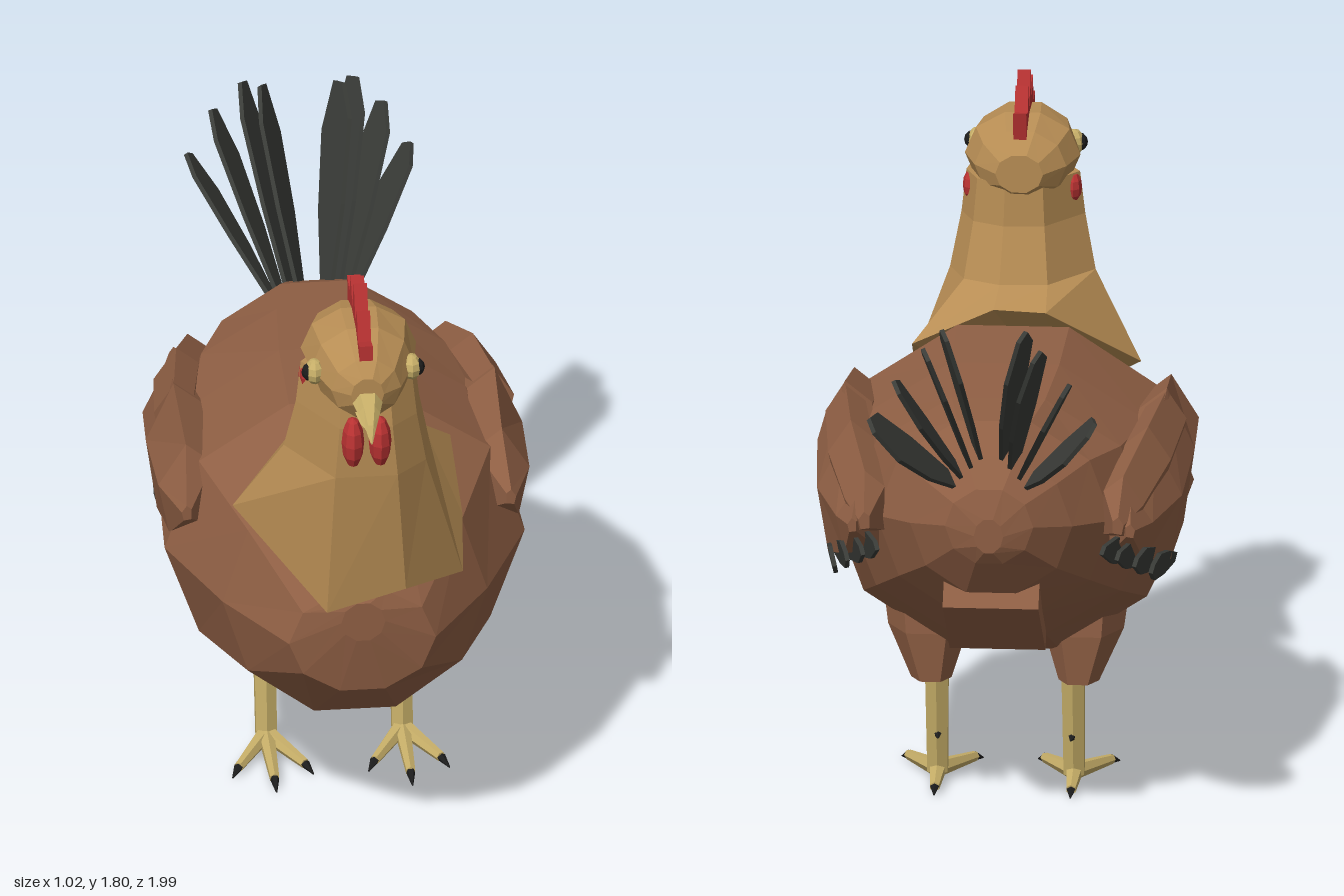
import * as THREE from 'three';

const mat = (name, color) => {
  const m = new THREE.MeshStandardMaterial({ color });
  m.name = name;
  return m;
};
const V = (x, y, z) => new THREE.Vector3(x, y, z);

// Faceted geometry: every face gets its own normal
function facet(g) {
  const f = g.index ? g.toNonIndexed() : g;
  f.computeVertexNormals();
  return f;
}

// Closed skin over a list of rings (arrays of points), capped at both ends
function loft(rings) {
  const tris = [], n = rings[0].length;
  for (let r = 0; r < rings.length - 1; r++) {
    for (let i = 0; i < n; i++) {
      const j = (i + 1) % n, a = rings[r], b = rings[r + 1];
      tris.push([a[i], a[j], b[j]], [a[i], b[j], b[i]]);
    }
  }
  const last = rings[rings.length - 1];
  for (let i = 1; i < n - 1; i++) {
    tris.push([rings[0][0], rings[0][i + 1], rings[0][i]], [last[0], last[i], last[i + 1]]);
  }
  // Turn the skin outwards if its volume is negative
  const c = rings[0][0];
  const vol = tris.reduce((s, [p, q, w]) =>
    s + p.clone().sub(c).dot(q.clone().sub(c).cross(w.clone().sub(c))), 0);
  if (vol < 0) tris.forEach((t) => t.reverse());
  return facet(new THREE.BufferGeometry().setFromPoints(tris.flat()));
}

// Loft of n-sided ellipses along z; each station is [z, centre y, rx, ry]
const ovals = (stations, n) => loft(stations.map(([z, cy, rx, ry]) =>
  Array.from({ length: n }, (_, i) => {
    const a = ((i + 0.5) / n) * Math.PI * 2;
    return V(rx * Math.sin(a), cy - ry * Math.cos(a), z);
  })));

// Tapered rod between two points
function rod(a, b, ra, rb, sides = 6) {
  const d = b.clone().sub(a);
  const g = new THREE.CylinderGeometry(rb, ra, d.length(), sides);
  g.applyQuaternion(new THREE.Quaternion().setFromUnitVectors(V(0, 1, 0), d.normalize()));
  g.translate((a.x + b.x) / 2, (a.y + b.y) / 2, (a.z + b.z) / 2);
  return facet(g);
}

// Flat feather from a to b, its face turned towards the normal
function feather(a, b, width, normal) {
  const d = b.clone().sub(a), len = d.length(), w = width / 2;
  const s = new THREE.Shape([[-w * 0.35, 0], [w * 0.35, 0], [w * 0.9, len * 0.4], [w, len * 0.78],
    [w * 0.3, len], [-w * 0.35, len * 0.98], [-w, len * 0.8], [-w * 0.85, len * 0.4]]
    .map(([x, y]) => new THREE.Vector2(x, y)));
  const g = new THREE.ExtrudeGeometry(s, { depth: 0.012, bevelEnabled: false });
  const Y = d.normalize(), X = Y.clone().cross(normal).normalize(), Z = X.clone().cross(Y);
  g.applyMatrix4(new THREE.Matrix4().makeBasis(X, Y, Z).setPosition(a));
  return facet(g);
}

function ball(x, y, z, rx, ry, rz, w = 8, h = 6) {
  const g = new THREE.SphereGeometry(1, w, h);
  g.scale(rx, ry, rz);
  g.translate(x, y, z);
  return facet(g);
}

export function createModel() {
  const hen = new THREE.Group();
  hen.name = 'hen';
  const brown = mat('brown plumage', 0x8f5f44);
  const gold = mat('golden plumage', 0xb78d54);
  const red = mat('red skin', 0xb93232);
  const horn = mat('pale horn', 0xc6ae68);
  const dark = mat('dark feathers', 0x3a3c38);
  const black = mat('black', 0x1c1c1c);
  const add = (name, geometry, material, parent = hen) => {
    const m = new THREE.Mesh(geometry, material);
    m.name = name;
    parent.add(m);
    return m;
  };

  // Body and the fluff below the tail
  add('body', ovals([
    [0.775, 0.80, 0.06, 0.06], [0.75, 0.73, 0.2, 0.16], [0.55, 0.76, 0.36, 0.37],
    [0.28, 0.785, 0.49, 0.447], [-0.03, 0.80, 0.475, 0.425], [-0.29, 0.855, 0.41, 0.35],
    [-0.45, 0.90, 0.32, 0.29], [-0.57, 0.92, 0.22, 0.205], [-0.65, 0.94, 0.12, 0.11],
    [-0.675, 0.92, 0.04, 0.05]], 10), brown);
  const vent = new THREE.BoxGeometry(0.26, 0.09, 0.34);
  vent.rotateX(0.64);
  vent.translate(0, 0.625, -0.435);
  add('ventFluff', facet(vent), brown);

  // Neck with a ragged cape hem
  const hem = [[-0.1, 0.84, 0.785], [0.115, 0.9, 0.78], [0.285, 0.865, 0.635], [0.29, 1.01, 0.58],
    [0.28, 1.13, 0.35], [0.06, 1.225, 0.37], [-0.085, 1.235, 0.32], [-0.33, 1.04, 0.52]];
  const collar = [[-0.08, 0.81], [0.09, 0.81], [0.175, 0.73], [0.195, 0.61],
    [0.15, 0.5], [0.05, 0.45], [-0.08, 0.46], [-0.2, 0.61]];
  const neckRing = (y, s, cz) => collar.map(([x, z]) => V(x * s, y, cz + (z - 0.63) * s));
  add('neck', loft([hem.map((p) => V(...p)), neckRing(1.27, 1, 0.63),
    neckRing(1.42, 0.85, 0.655), neckRing(1.54, 0.78, 0.65)]), gold);

  // Head
  add('head', ovals([[0.885, 1.565, 0.045, 0.05], [0.85, 1.565, 0.095, 0.09],
    [0.75, 1.58, 0.14, 0.122], [0.64, 1.585, 0.157, 0.122], [0.55, 1.58, 0.125, 0.1],
    [0.5, 1.57, 0.065, 0.055]], 10), gold);

  // Comb
  const comb = new THREE.Shape([[0.85, 1.6], [0.85, 1.695], [0.805, 1.685], [0.775, 1.765],
    [0.735, 1.715], [0.695, 1.805], [0.655, 1.715], [0.615, 1.785], [0.578, 1.72],
    [0.52, 1.735], [0.54, 1.62]].map((p) => new THREE.Vector2(...p)));
  const combGeo = new THREE.ExtrudeGeometry(comb, { depth: 0.036, bevelEnabled: false });
  combGeo.rotateY(-Math.PI / 2);
  combGeo.translate(0.018, 0, 0);
  add('comb', facet(combGeo), red);

  // Beak
  add('upperBeak', ovals([[0.85, 1.55, 0.05, 0.04], [0.925, 1.53, 0.03, 0.025],
    [0.97, 1.505, 0.014, 0.014], [0.995, 1.475, 0.003, 0.003]], 6), horn);
  add('lowerBeak', ovals([[0.85, 1.505, 0.035, 0.018], [0.91, 1.49, 0.022, 0.013],
    [0.955, 1.484, 0.003, 0.003]], 6), horn);

  // Wing cross-sections: [z, top y, bottom y, outer x]
  const wingRings = (list) => loft(list.map(([z, t, b, x]) => {
    const k = Math.min(1, (t - b) / 0.25);
    return [V(x - 0.075 * k, t, z), V(x, t * 0.55 + b * 0.45, z), V(x - 0.03 * k, b, z),
      V(x - 0.15 * k, b + 0.02 * k, z), V(x - 0.15 * k, t - 0.06 * k, z)];
  }));

  for (const s of [1, -1]) {
    const side = new THREE.Group();
    side.name = s > 0 ? 'leftSide' : 'rightSide';
    side.scale.x = s;
    hen.add(side);
    const put = (name, geometry, material) => add(name, geometry, material, side);

    // Wattle, ear lobe and eye
    put('wattle', ball(0.037, 1.405, 0.855, 0.031, 0.075, 0.045), red);
    put('earLobe', ball(0.14, 1.497, 0.63, 0.022, 0.042, 0.036), red);
    put('eyeRing', ball(0.132, 1.58, 0.765, 0.028, 0.036, 0.036), horn);
    put('eye', ball(0.148, 1.58, 0.768, 0.02, 0.024, 0.024), black);

    // Folded wing with an upper covert behind it
    put('wing', wingRings([[0.395, 0.975, 0.93, 0.455], [0.26, 1.09, 0.82, 0.505],
      [0, 1.135, 0.755, 0.512], [-0.25, 1.06, 0.73, 0.495], [-0.45, 0.985, 0.79, 0.43],
      [-0.57, 0.93, 0.89, 0.39]]), brown);
    put('wingCovert', wingRings([[0, 1.13, 0.95, 0.49], [-0.25, 1.105, 0.9, 0.465],
      [-0.46, 1.03, 0.85, 0.405], [-0.575, 0.95, 0.9, 0.36]]), brown);

    // Flight feathers below the wing
    [[0.3, 0.875, -0.635], [0.34, 0.855, -0.62], [0.385, 0.825, -0.58], [0.425, 0.785, -0.51]]
      .forEach((tip, i) => put('flightFeather',
        feather(V(0.425 + i * 0.012, 0.73 - i * 0.008, -0.15), V(...tip), 0.075, V(1, -0.3, 0.3)), dark));

    // Tail fan
    [[0.03, 0.1, 1.56, -0.88], [0.055, 0.145, 1.53, -0.96], [0.08, 0.225, 1.44, -0.975],
      [0.1, 0.295, 1.32, -0.95]]
      .forEach(([bx, x, y, z], i) => put('tailFeather',
        feather(V(bx, 1.1 - i * 0.015, -0.53 - i * 0.02), V(x, y, z), 0.16, V(0.82, -0.57, 0)), dark));

    // Thigh, shank and spur
    put('thigh', loft([[0.56, 0.21, 0.02, 0.125], [0.45, 0.21, 0.0, 0.11], [0.31, 0.2, -0.035, 0.055]]
      .map(([y, x, z, r]) => Array.from({ length: 6 }, (_, i) =>
        V(x + r * Math.cos(i * Math.PI / 3), y, z + r * Math.sin(i * Math.PI / 3))))), brown);
    put('shank', rod(V(0.185, 0.035, 0), V(0.185, 0.34, -0.037), 0.032, 0.036), horn);
    put('spur', rod(V(0.183, 0.15, -0.035), V(0.18, 0.147, -0.072), 0.012, 0.002, 5), black);

    // Toes with claws
    [[0.185, 0.28], [0.295, 0.19], [0.075, 0.19], [0.185, -0.15]].forEach(([x, z]) => {
      const root = V(0.185, 0.04, 0), tip = V(x, 0.01, z);
      const joint = root.clone().lerp(tip, 0.82).setY(0.025);
      put('toe', rod(root, joint, 0.025, 0.014), horn);
      put('claw', rod(joint, tip, 0.013, 0.002, 5), black);
    });
  }

  // Settle on the ground
  const box = new THREE.Box3().setFromObject(hen);
  hen.position.y = -box.min.y;
  return hen;
}
